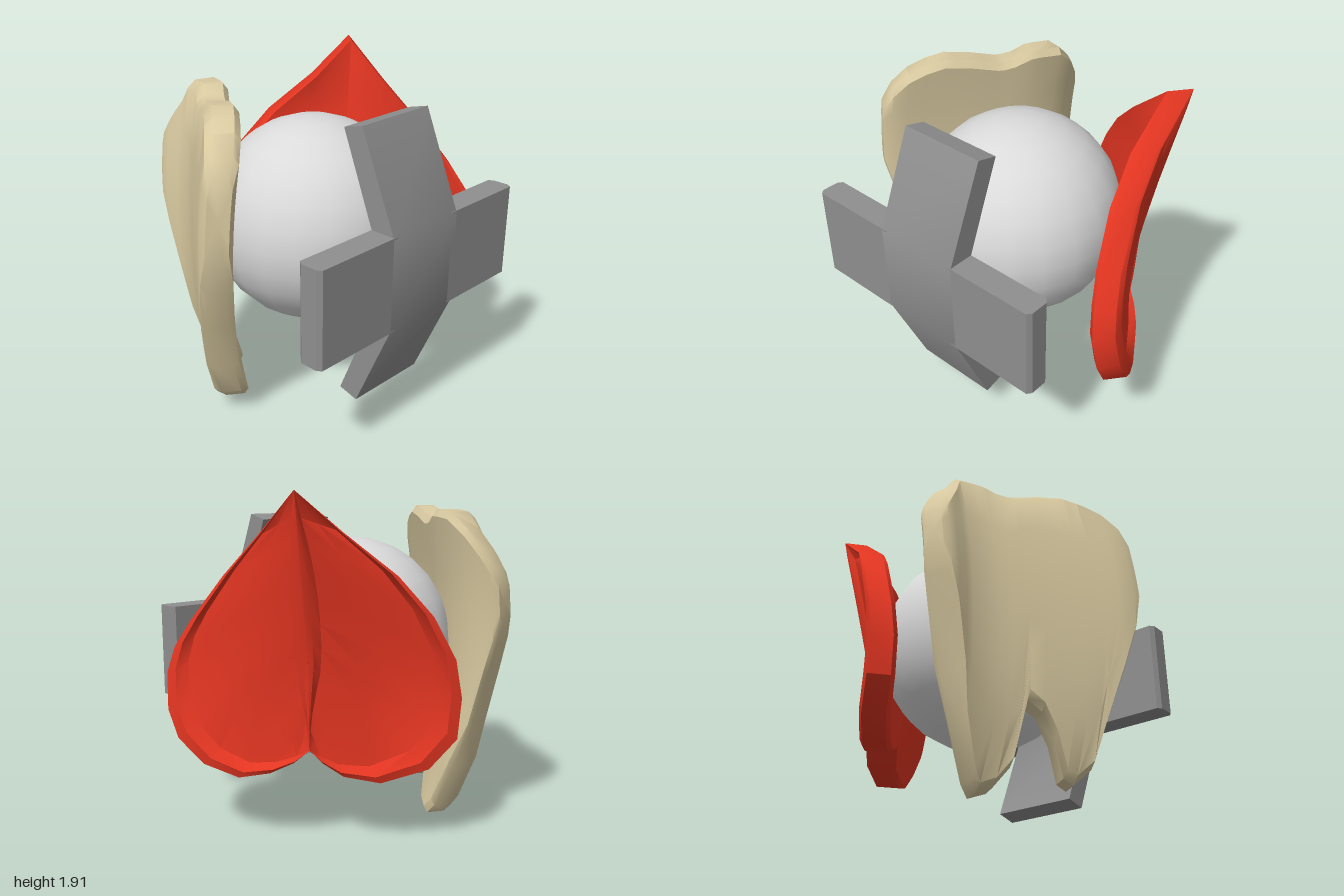
import * as THREE from 'three';
import { toCreasedNormals } from 'three/addons/utils/BufferGeometryUtils.js';

const V = (x, y, z) => new THREE.Vector3(x, y, z);

// Closed solid from a row of equal-length loops, with fans over both ends
function loft(loops, crease) {
  const n = loops[0].length, tris = [];
  for (let i = 0; i < loops.length - 1; i++) {
    for (let j = 0; j < n; j++) {
      const a = loops[i][j], b = loops[i][(j + 1) % n];
      const c = loops[i + 1][(j + 1) % n], d = loops[i + 1][j];
      tris.push([a, b, c], [a, c, d]);
    }
  }
  const centre = (loop) => loop.reduce((s, p) => s.add(p), V(0, 0, 0)).divideScalar(n);
  const first = loops[0], last = loops[loops.length - 1];
  const c0 = centre(first), c1 = centre(last);
  for (let j = 0; j < n; j++) {
    const k = (j + 1) % n;
    tris.push([c0, first[k], first[j]], [c1, last[j], last[k]]);
  }
  // Turn the faces outward whichever way the loops run
  let volume = 0;
  for (const [a, b, c] of tris) volume += a.dot(b.clone().cross(c));
  const pts = tris.flatMap(([a, b, c]) => (volume < 0 ? [a, c, b] : [a, b, c]));
  return toCreasedNormals(new THREE.BufferGeometry().setFromPoints(pts), crease);
}

// Half of the folded spade: ruled between the spine and a curved edge, with a raised rim
function spadeHalf(edge) {
  const tip = V(0.71, 1.91, -0.37), mid = V(0.53, 1.0, -0.25), notch = V(0.5, 0.54, -0.22);
  const outward = V(0.65, 0.03, -0.76);
  const pts = [tip, ...edge.map((p) => V(...p)), notch];
  const last = pts.length - 1;
  const outer = [[0, 0.075], [0.045, 0.07], [0.1, 0.035], [0.45, 0.025], [0.84, 0.03], [0.93, 0.075], [1, 0.06]];
  const inner = [[1, -0.055], [0.94, -0.08], [0.45, -0.07], [0, -0.07]];
  const loops = pts.map((e, k) => {
    const s = k / last;
    const spine = s < 0.65 ? tip.clone().lerp(mid, s / 0.65) : mid.clone().lerp(notch, (s - 0.65) / 0.35);
    const atEnd = k === 0 || k === last;
    const thicker = 0.03 * s * s;
    return [...outer, ...inner].map(([t, off]) => {
      const shift = atEnd ? Math.sign(off) * 0.07 : off;
      return spine.clone().lerp(e, t).addScaledVector(outward, shift + (off > 0 ? thicker : 0));
    });
  });
  return loft(loops, 0.6);
}

// Tooth: vertical slices along z, [z, top, bottom, half thickness]
function toothGeometry() {
  const slices = [
    [0.28, 1.54, 1.12, 0.06], [0.24, 1.64, 0.93, 0.085], [0.17, 1.73, 0.68, 0.09],
    [0.09, 1.78, 0.36, 0.09], [0.06, 1.79, 0.15, 0.09], [0, 1.81, 0.07, 0.09],
    [-0.05, 1.8, 0.1, 0.09], [-0.12, 1.79, 0.28, 0.09], [-0.19, 1.77, 0.42, 0.09],
    [-0.26, 1.75, 0.48, 0.09], [-0.29, 1.75, 0.13, 0.09], [-0.34, 1.76, 0.03, 0.09],
    [-0.41, 1.8, 0, 0.09], [-0.46, 1.8, 0.06, 0.09], [-0.57, 1.79, 0.32, 0.095],
    [-0.65, 1.7, 0.56, 0.095], [-0.73, 1.59, 0.88, 0.095], [-0.78, 1.5, 1.06, 0.085],
    [-0.81, 1.43, 1.18, 0.06],
  ];
  // Plan curve of the plate, as x for a given z
  const plan = [[0.3, -0.84], [0.2, -0.77], [0, -0.63], [-0.2, -0.49], [-0.4, -0.36], [-0.6, -0.275], [-0.82, -0.31]];
  const planX = (z) => {
    let i = 0;
    while (i < plan.length - 2 && z < plan[i + 1][0]) i++;
    const [z0, x0] = plan[i], [z1, x1] = plan[i + 1];
    return x0 + (x1 - x0) * (z - z0) / (z1 - z0);
  };
  const loops = slices.map(([z, top, bottom, half]) => {
    const slope = (planX(z + 0.06) - planX(z - 0.06)) / 0.12;
    const len = Math.hypot(1, slope);
    const point = (y, h) => {
      const u = Math.abs(y - 0.95) / 0.88;
      const bulge = 0.12 * (1 - u ** (y > 0.95 ? 2 : 3));
      return V(planX(z) - bulge + h / len, y, z - h * slope / len);
    };
    const bevel = Math.min(0.04, (top - bottom) * 0.2);
    const rows = [[bottom, half * 0.6]];
    for (let i = 0; i <= 6; i++) {
      rows.push([THREE.MathUtils.lerp(bottom + bevel, top - bevel, i / 6), half]);
    }
    rows.push([top, half * 0.6]);
    return [
      ...rows.map(([y, h]) => point(y, h)),
      ...rows.reverse().map(([y, h]) => point(y, -h)),
    ];
  });
  return loft(loops, 0.7);
}

export function createModel() {
  const model = new THREE.Group();
  const material = (name, color) => {
    const m = new THREE.MeshStandardMaterial({ color });
    m.name = name;
    return m;
  };
  const lightGrey = material('light grey', 0xdadada);
  const grey = material('grey', 0x8f8f8f);
  const red = material('red', 0xe23521);
  const ivory = material('ivory', 0xd8c9a0);
  const add = (name, geometry, mat, parent = model) => {
    const mesh = new THREE.Mesh(geometry, mat);
    mesh.name = name;
    parent.add(mesh);
    return mesh;
  };
  const extrude = (points, depth) => new THREE.ExtrudeGeometry(
    new THREE.Shape(points.map(([x, y]) => new THREE.Vector2(x, y))),
    { depth, bevelEnabled: false },
  );

  // Central ball
  add('ball', new THREE.SphereGeometry(0.6, 20, 14), lightGrey).position.set(-0.03, 1.04, 0.04);

  // Plus sign: bent upright bar and two straight arms with chamfered ends
  const plus = new THREE.Group();
  plus.name = 'plusSign';
  model.add(plus);
  const bar = extrude([
    [0.86, 0.7], [0.86, 1.22], [0.63, 1.76], [0.51, 1.73],
    [0.71, 1.23], [0.71, 0.69], [0.51, 0.2], [0.63, 0.17],
  ], 0.515);
  bar.rotateY(-Math.PI / 2).translate(0.235, 0, 0);
  add('uprightBar', toCreasedNormals(bar, 0.6), grey, plus);
  for (const [name, root, end] of [['leftArm', 0.2, 0.76], ['rightArm', -0.25, -0.805]]) {
    const cut = end - 0.02 * Math.sign(end);
    const arm = extrude([
      [root, -0.71], [cut, -0.71], [end, -0.735], [end, -0.835], [cut, -0.86], [root, -0.86],
    ], 0.54);
    arm.rotateX(-Math.PI / 2).translate(0, 0.69, 0);
    add(name, arm, grey, plus);
  }

  // Folded spade leaf
  const spade = new THREE.Group();
  spade.name = 'spadeLeaf';
  model.add(spade);
  const frontEdge = [
    [0.72, 1.67, -0.07], [0.77, 1.46, 0.16], [0.85, 1.21, 0.36], [0.9, 1.06, 0.45],
    [0.93, 0.91, 0.49], [0.95, 0.71, 0.46], [0.94, 0.56, 0.38], [0.87, 0.43, 0.24],
    [0.76, 0.37, 0.07], [0.66, 0.41, -0.08], [0.57, 0.47, -0.17],
  ];
  const backEdge = [
    [0.46, 1.7, -0.45], [0.24, 1.48, -0.62], [0.09, 1.27, -0.73], [-0.02, 1.04, -0.79],
    [-0.06, 0.83, -0.8], [-0.04, 0.61, -0.79], [0.08, 0.45, -0.7], [0.26, 0.37, -0.52],
    [0.39, 0.4, -0.37], [0.46, 0.47, -0.28],
  ];
  add('spadeFrontHalf', spadeHalf(frontEdge), red, spade);
  add('spadeBackHalf', spadeHalf(backEdge), red, spade);

  // Curved tooth plate
  add('tooth', toothGeometry(), ivory);

  return model;
}
